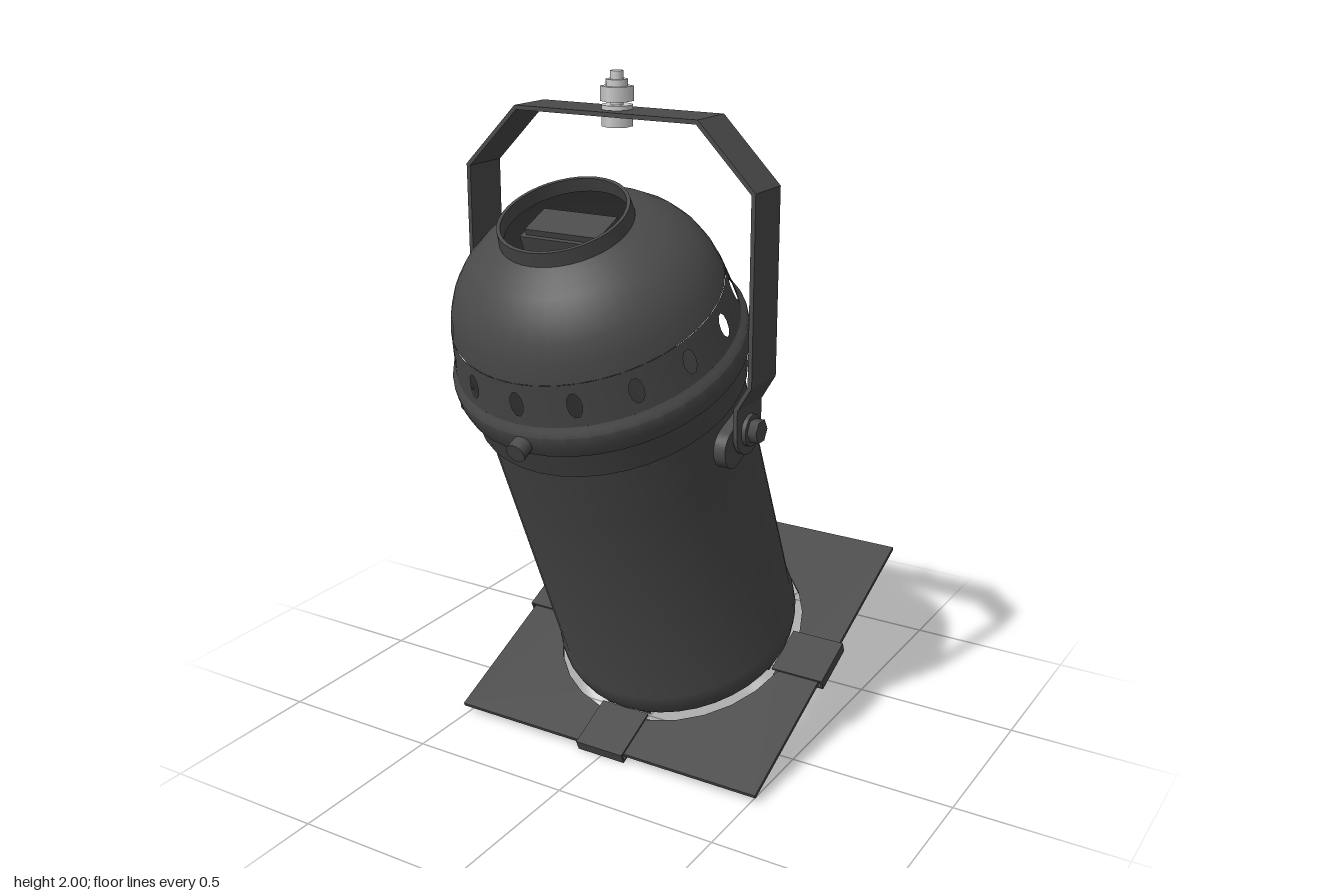
import * as THREE from 'three';
import { toCreasedNormals } from 'three/addons/utils/BufferGeometryUtils.js';

const dark = new THREE.MeshStandardMaterial({ color: 0x4a4a4a });
const darkThin = new THREE.MeshStandardMaterial({ color: 0x4a4a4a, side: THREE.DoubleSide });
const steel = new THREE.MeshStandardMaterial({ color: 0xcccccc });

const PIVOT = 0.92;   // height of the tilt pivot along the can axis
const TILT = 0.412;

function add(parent, name, geometry, material, x = 0, y = 0, z = 0) {
  const mesh = new THREE.Mesh(geometry, material);
  mesh.name = name;
  mesh.position.set(x, y, z);
  parent.add(mesh);
  return mesh;
}

// Surface of revolution from [radius, height] pairs, bottom to top
function lathe(points) {
  const g = new THREE.LatheGeometry(points.map(([r, y]) => new THREE.Vector2(r, y)), 40);
  return toCreasedNormals(g, 0.6);
}

const box = (w, h, d) => new THREE.BoxGeometry(w, h, d);
const cylX = (r, len, sides = 24) => new THREE.CylinderGeometry(r, r, len, sides).rotateZ(Math.PI / 2);

function extrude(shape, depth, curveSegments = 16) {
  return new THREE.ExtrudeGeometry(shape, { depth, bevelEnabled: false, curveSegments })
    .translate(0, 0, -depth / 2);
}

// One sector of the vent band with an oval hole, wrapped onto the cone
function ventSector(angle, sector) {
  const y0 = 1.18, y1 = 1.3, half = sector / 2, steps = 6;
  const outline = [];
  for (let i = 0; i <= steps; i++) outline.push(new THREE.Vector2(-half + sector * i / steps, y0));
  for (let i = steps; i >= 0; i--) outline.push(new THREE.Vector2(-half + sector * i / steps, y1));
  const shape = new THREE.Shape(outline);
  const hole = new THREE.Path();
  hole.absellipse(0, 1.24, 0.052, 0.035, 0, Math.PI * 2, true);
  shape.holes.push(hole);
  const g = new THREE.ShapeGeometry(shape, 5);
  const p = g.attributes.position, n = g.attributes.normal;
  for (let i = 0; i < p.count; i++) {
    const a = angle + p.getX(i), y = p.getY(i);
    const r = 0.398 - (y - y0) * 0.18;
    p.setXYZ(i, Math.sin(a) * r, y, Math.cos(a) * r);
    n.setXYZ(i, Math.sin(a) * 0.984, 0.177, Math.cos(a) * 0.984);
  }
  return g;
}

function buildCan() {
  const can = new THREE.Group();
  can.name = 'can';

  // Barrel: open tube with rolled lower lip, then the thin upper section
  add(can, 'barrel', lathe([[0.35, 0.0], [0.364, 0.015], [0.374, 0.05], [0.374, 0.09],
    [0.367, 0.12], [0.367, 0.85]]), darkThin);
  add(can, 'upperBarrel', lathe([[0.367, 0.85], [0.367, 1.02]]), dark);

  // Collar and flange where the cap meets the barrel
  add(can, 'collar', lathe([[0.367, 1.0], [0.386, 1.0], [0.392, 1.08], [0.4, 1.085]]), dark);
  add(can, 'flange', lathe([[0.39, 1.085], [0.408, 1.09], [0.414, 1.12], [0.414, 1.155],
    [0.404, 1.17], [0.398, 1.18]]), dark);

  // Ring of fifteen vent holes
  const count = 15, sector = Math.PI * 2 / count;
  const vents = new THREE.Group();
  vents.name = 'ventBand';
  for (let i = 0; i < count; i++) add(vents, 'ventSector', ventSector(i * sector, sector), darkThin);
  can.add(vents);

  // Domed cap with a raised rim around the opening
  add(can, 'dome', lathe([[0.376, 1.3], [0.362, 1.35], [0.338, 1.4], [0.305, 1.444],
    [0.262, 1.482], [0.215, 1.51], [0.182, 1.525], [0.178, 1.565], [0.168, 1.565], [0.168, 1.525]]), darkThin);

  // Lamp socket seen through the opening
  add(can, 'socket', box(0.26, 0.15, 0.12), dark, 0, 1.43, -0.02);
  add(can, 'socketCap', box(0.23, 0.02, 0.1), dark, 0, 1.513, -0.02);

  // Cap screw at the front, latch at the back
  add(can, 'capScrew', new THREE.CylinderGeometry(0.028, 0.028, 0.05, 16).rotateX(Math.PI / 2), dark, 0, 1.125, 0.425);
  add(can, 'latch', box(0.14, 0.15, 0.012), dark, 0, 1.09, -0.428);
  add(can, 'latchFoot', box(0.14, 0.012, 0.05), dark, 0, 1.015, -0.405);

  // Pivot ears on both sides
  const ear = new THREE.Shape();
  ear.absarc(0.05, 0, 0.055, -Math.PI / 2, Math.PI / 2, false);
  ear.absarc(-0.05, 0, 0.055, Math.PI / 2, Math.PI * 1.5, false);
  for (const s of [-1, 1])
    add(can, 'pivotEar', extrude(ear, 0.035).rotateY(Math.PI / 2), dark, s * 0.382, PIVOT - 0.02, 0.01);

  // Square filter frame with a round opening
  const e = 0.515;
  const frame = new THREE.Shape([[-e, -e], [e, -e], [e, e], [-e, e]].map(([x, y]) => new THREE.Vector2(x, y)));
  const hole = new THREE.Path();
  hole.absarc(0, 0, 0.388, 0, Math.PI * 2, true);
  frame.holes.push(hole);
  add(can, 'filterFrame', extrude(frame, 0.012, 14).rotateX(Math.PI / 2), dark);

  // Four clips wrap the frame edges and reach up inside the barrel
  for (let i = 0; i < 4; i++) {
    const clip = new THREE.Group();
    clip.name = 'frameClip';
    clip.rotation.y = i * Math.PI / 2;
    add(clip, 'clipTop', box(0.16, 0.006, 0.165), dark, 0, 0.012, 0.445);
    add(clip, 'clipBottom', box(0.16, 0.006, 0.165), dark, 0, -0.016, 0.445);
    add(clip, 'clipEdge', box(0.16, 0.034, 0.006), dark, 0, -0.002, 0.526);
    add(clip, 'clipTab', box(0.15, 0.14, 0.006), dark, 0, 0.065, 0.345);
    can.add(clip);
  }
  return can;
}

// Bent flat strip: outer and inner outlines mirrored about the middle
function buildYoke() {
  const outer = [[0.415, 0], [0.415, 0.07], [0.456, 0.14], [0.456, 0.655], [0.286, 0.828]];
  const inner = [[0.403, 0], [0.403, 0.074], [0.444, 0.143], [0.444, 0.65], [0.281, 0.816]];
  const mirror = pts => pts.map(([x, y]) => [-x, y]).reverse();
  const outline = [...outer, ...mirror(outer), ...mirror(inner).reverse(), ...[...inner].reverse()];
  const yoke = new THREE.Group();
  yoke.name = 'yoke';
  const shape = new THREE.Shape(outline.map(([x, y]) => new THREE.Vector2(x, y)));
  add(yoke, 'yokeStrip', extrude(shape, 0.14), dark);
  for (const s of [-1, 1]) add(yoke, 'yokeEnd', cylX(0.07, 0.012), dark, s * 0.409, 0, 0);

  // Plain bolt on the left, star knob on the right
  add(yoke, 'pivotWasher', cylX(0.045, 0.012), dark, 0.421, 0, 0);
  add(yoke, 'pivotBolt', cylX(0.034, 0.03, 6), dark, 0.438, 0, 0);
  add(yoke, 'knobWasher', cylX(0.045, 0.014), dark, -0.422, 0, 0);
  add(yoke, 'knobHub', cylX(0.032, 0.06), dark, -0.445, 0, 0);
  const star = new THREE.Shape();
  for (let i = 0; i < 60; i++) {
    const a = i / 60 * Math.PI * 2, r = 0.084 + 0.022 * Math.cos(a * 5);
    star[i ? 'lineTo' : 'moveTo'](Math.cos(a + Math.PI / 2) * r, Math.sin(a + Math.PI / 2) * r);
  }
  const knob = new THREE.ExtrudeGeometry(star, { depth: 0.026, bevelThickness: 0.012, bevelSize: 0.01,
    bevelOffset: -0.01, bevelSegments: 2 }).translate(0, 0, -0.013).rotateY(Math.PI / 2);
  add(yoke, 'starKnob', toCreasedNormals(knob, 0.6), dark, -0.492, 0, 0);
  return yoke;
}

// Hanging bolt on top of the yoke: [name, radius, height, centre y, sides]
function buildHangingBolt() {
  const bolt = new THREE.Group();
  bolt.name = 'hangingBolt';
  for (const [name, r, h, y, sides] of [
    ['boltHead', 0.042, 0.03, 1.868, 6],
    ['boltShank', 0.018, 0.14, 1.93, 16],
    ['washer', 0.042, 0.012, 1.905, 24],
    ['nut', 0.045, 0.04, 1.94, 6],
    ['nutCollar', 0.03, 0.02, 1.968, 16],
  ]) add(bolt, name, new THREE.CylinderGeometry(r, r, h, sides), steel, 0, y, 0);
  return bolt;
}

export function createModel() {
  const model = new THREE.Group();
  model.name = 'stageLight';

  const tilt = new THREE.Group();
  tilt.name = 'tiltingHead';
  tilt.position.set(0, 1.07, 0.17);
  tilt.rotation.x = TILT;
  const can = buildCan();
  can.position.y = -PIVOT;
  tilt.add(can);

  const yoke = buildYoke();
  yoke.position.set(0, 1.07, 0.165);
  const bolt = buildHangingBolt();
  bolt.position.z = 0.165;

  model.add(tilt, yoke, bolt);
  return model;
}
